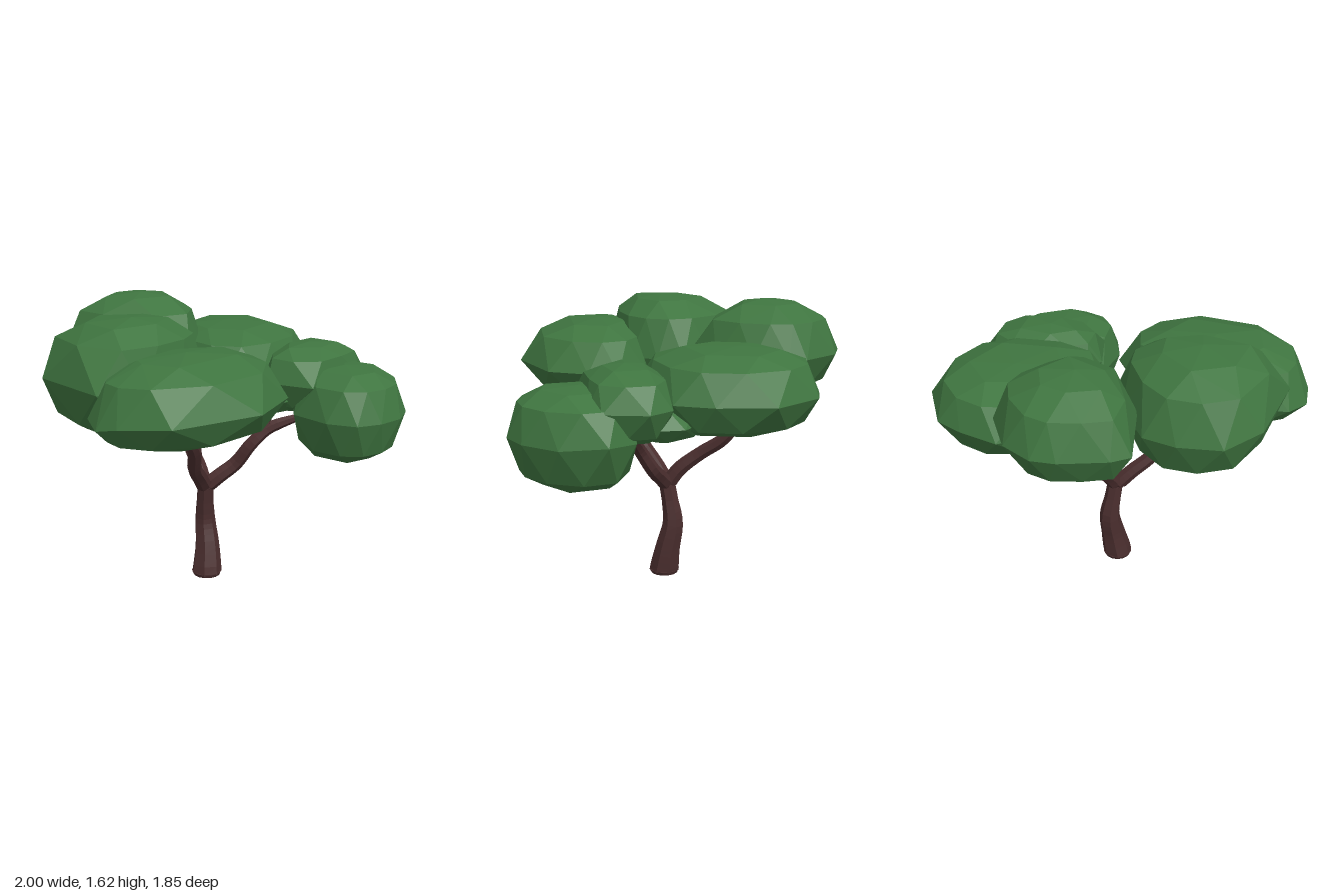
import * as THREE from 'three';
import { ConvexGeometry } from 'three/addons/geometries/ConvexGeometry.js';

const bark = new THREE.MeshStandardMaterial({ color: 0x4a2e2e, flatShading: true });
const leaves = new THREE.MeshStandardMaterial({ color: 0x3f7540, flatShading: true });
const SIDES = 7;

// Tapered limb: a tube whose rings are rescaled along the path
function limb(name, points, radii) {
  const curve = new THREE.CatmullRomCurve3(points.map(p => new THREE.Vector3(...p)));
  const n = (points.length - 1) * 4;
  const geo = new THREE.TubeGeometry(curve, n, 1, SIDES, false);
  const pos = geo.attributes.position;
  const v = new THREE.Vector3();
  for (let i = 0; i <= n; i++) {
    const centre = curve.getPointAt(i / n);
    const t = (i / n) * (radii.length - 1);
    const k = Math.min(Math.floor(t), radii.length - 2);
    const r = THREE.MathUtils.lerp(radii[k], radii[k + 1], t - k);
    for (let j = 0; j <= SIDES; j++) {
      const id = i * (SIDES + 1) + j;
      v.fromBufferAttribute(pos, id).sub(centre).multiplyScalar(r).add(centre);
      // The first ring is cut level
      pos.setXYZ(id, v.x, i === 0 ? centre.y : v.y, v.z);
    }
  }
  geo.computeVertexNormals();
  const mesh = new THREE.Mesh(geo, bark);
  mesh.name = name;
  return mesh;
}

// Faceted leaf clump: a plan outline [x, z, rise] at rim height, domed to a top and a bottom point
function clump(name, rim, top, bottom, power, outline) {
  const points = [new THREE.Vector3(...top), new THREE.Vector3(...bottom)];
  const between = outline.map((p, i) => {
    const q = outline[(i + 1) % outline.length];
    return [0, 1, 2].map(k => ((p[k] ?? 0) + (q[k] ?? 0)) / 2);
  });
  for (const pole of [top, bottom]) {
    for (const [degrees, ring, step] of [[0, outline, 1], [36, between, 1], [66, outline, 2]]) {
      const a = THREE.MathUtils.degToRad(degrees);
      const out = Math.cos(a) ** power, up = Math.sin(a) ** power;
      for (let i = 0; i < ring.length; i += step) {
        const [x, z, rise = 0] = ring[i];
        points.push(new THREE.Vector3(
          THREE.MathUtils.lerp(pole[0], x, out),
          THREE.MathUtils.lerp(rim + rise, pole[1], up),
          THREE.MathUtils.lerp(pole[2], z, out)));
      }
    }
  }
  const mesh = new THREE.Mesh(new ConvexGeometry(points), leaves);
  mesh.name = name;
  return mesh;
}

export function createModel() {
  const tree = new THREE.Group();
  tree.name = 'tree';

  // Trunk and its bevelled base
  tree.add(limb('trunk',
    [[0, 0.015, 0.07], [0.02, 0.16, 0.05], [0.03, 0.32, 0.02], [0.015, 0.45, 0.035], [0, 0.6, 0.06]],
    [0.09, 0.074, 0.062, 0.05, 0.047]));
  const base = new THREE.Mesh(new THREE.CylinderGeometry(0.088, 0.08, 0.02, 14), bark);
  base.name = 'trunkBase';
  base.position.set(0, 0.01, 0.07);
  tree.add(base);

  // Main branches
  tree.add(limb('leftBranch',
    [[0, 0.54, 0.05], [-0.08, 0.63, 0.1], [-0.18, 0.73, 0.17], [-0.25, 0.87, 0.25], [-0.37, 1.01, 0.3], [-0.43, 1.08, 0.34]],
    [0.047, 0.044, 0.041, 0.038, 0.034, 0.02]));
  tree.add(limb('rightBranch',
    [[0, 0.54, 0.05], [0.07, 0.61, 0.1], [0.15, 0.68, 0.15], [0.2, 0.8, 0.22], [0.29, 0.89, 0.27], [0.45, 0.96, 0.38]],
    [0.047, 0.044, 0.041, 0.037, 0.034, 0.02]));
  tree.add(limb('backBranch',
    [[0, 0.54, 0.05], [0.02, 0.64, -0.02], [0.05, 0.74, -0.14], [0.1, 0.83, -0.26], [0.13, 0.92, -0.33]],
    [0.048, 0.044, 0.04, 0.038, 0.034]));

  // Forked twigs
  tree.add(limb('backTwig', [[0.125, 0.9, -0.325], [0.09, 0.98, -0.37], [0.04, 1.08, -0.41], [0.0, 1.18, -0.45]], [0.034, 0.028, 0.016]));
  tree.add(limb('sideTwig', [[0.12, 0.9, -0.32], [0.2, 0.96, -0.31], [0.29, 1.03, -0.28], [0.36, 1.09, -0.26]], [0.034, 0.028, 0.016]));
  tree.add(limb('rightTwig', [[0.25, 0.86, 0.25], [0.29, 0.95, 0.26], [0.31, 1.05, 0.26]], [0.033, 0.028, 0.016]));
  tree.add(limb('leftTwig', [[-0.24, 0.85, 0.24], [-0.29, 0.95, 0.2], [-0.34, 1.07, 0.14]], [0.032, 0.026, 0.016]));

  // Leaf clumps
  tree.add(clump('backClump', 1.33, [-0.02, 1.62, -0.5], [-0.02, 1.08, -0.48], 0.85,
    [[-0.42, -0.7], [-0.34, -0.78], [-0.11, -0.9], [0.02, -0.93], [0.2, -0.87], [0.37, -0.67],
      [0.38, -0.57], [0.34, -0.38], [0.2, -0.2], [0, -0.08], [-0.28, -0.31]]));
  tree.add(clump('rightBackClump', 1.2, [0.45, 1.43, -0.28], [0.47, 0.99, -0.2], 0.72,
    [[0.1, -0.48], [0.34, -0.71], [0.57, -0.69], [0.73, -0.65], [0.93, -0.4], [0.9, -0.1],
      [0.82, 0.1], [0.55, 0.22], [0.25, 0.25], [0.07, 0.15], [0.01, -0.08]]));
  tree.add(clump('leftBackClump', 1.27, [-0.5, 1.6, 0.04], [-0.48, 0.98, -0.03], 0.75,
    [[-0.92, -0.18, 0.03], [-0.78, -0.38], [-0.55, -0.45], [-0.36, -0.44], [-0.15, -0.22], [-0.04, -0.05],
      [-0.07, 0.1], [-0.17, 0.25], [-0.4, 0.32], [-0.66, 0.35], [-0.92, 0.3, 0.03]]));
  tree.add(clump('leftFrontClump', 1.22, [-0.45, 1.47, 0.42], [-0.45, 1.02, 0.42], 0.78,
    [[-1, 0.4, -0.06], [-0.97, 0.53, -0.03], [-0.84, 0.78], [-0.37, 0.89, 0.01], [-0.02, 0.72], [0.08, 0.5],
      [0.11, 0.33], [-0.06, 0.17], [-0.4, 0.08], [-0.75, 0.12], [-0.94, 0.25, -0.04]]));
  tree.add(clump('rightFrontClump', 1.02, [0.6, 1.27, 0.56], [0.58, 0.74, 0.56], 0.72,
    [[0.28, 0.48], [0.28, 0.72], [0.36, 0.87], [0.5, 0.92], [0.66, 0.92], [0.81, 0.84],
      [0.95, 0.66], [1, 0.42, 0.02], [0.85, 0.28], [0.5, 0.25]]));
  tree.add(clump('rightMiddleClump', 1.18, [0.55, 1.37, 0.32], [0.58, 0.97, 0.32], 0.78,
    [[0.22, 0.33], [0.27, 0.24], [0.45, 0.12], [0.62, 0.08], [0.84, 0.1], [0.94, 0.22],
      [0.9, 0.45], [0.78, 0.52], [0.52, 0.55], [0.32, 0.58]]));
  tree.add(clump('innerClump', 1.08, [0.46, 1.22, 0.13], [0.46, 0.96, 0.13], 0.85,
    [[0.07, 0.15], [0.15, 0.35], [0.27, 0.42], [0.6, 0.4], [0.85, 0.2], [0.84, 0.04], [0.6, -0.14], [0.25, -0.1]]));
  return tree;
}
